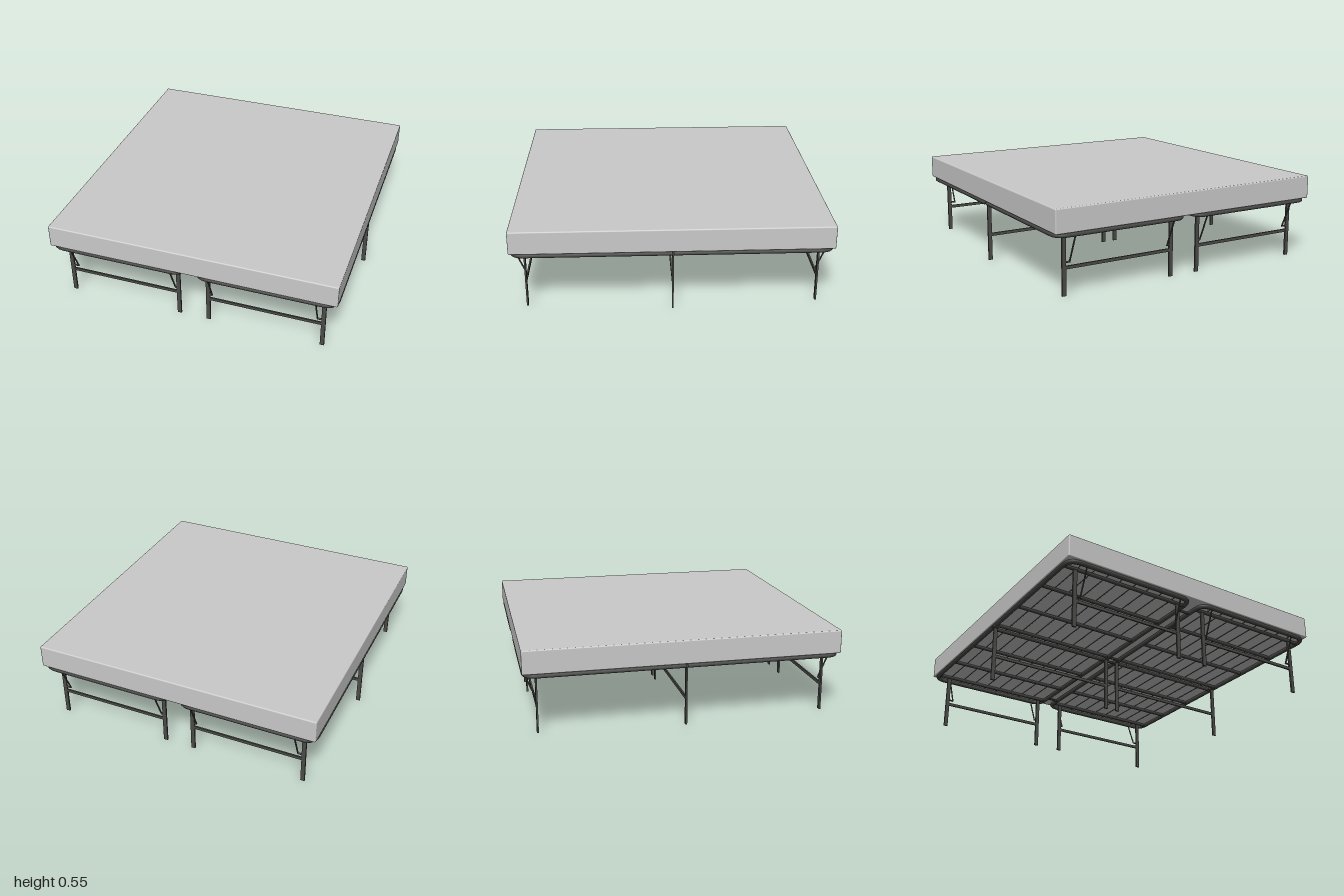
import * as THREE from 'three';
import { RoundedBoxGeometry } from 'three/addons/geometries/RoundedBoxGeometry.js';

const fabric = new THREE.MeshStandardMaterial({ color: 0xcacaca });
fabric.name = 'light grey fabric';
const steel = new THREE.MeshStandardMaterial({ color: 0x4a4a48 });
steel.name = 'dark steel';

const V = (x, y, z) => new THREE.Vector3(x, y, z);

function add(parent, name, geometry, material, x = 0, y = 0, z = 0) {
  const mesh = new THREE.Mesh(geometry, material);
  mesh.name = name;
  mesh.position.set(x, y, z);
  parent.add(mesh);
  return mesh;
}

const box = (parent, name, w, h, d, x, y, z) =>
  add(parent, name, new THREE.BoxGeometry(w, h, d), steel, x, y, z);

// Straight round bar between two points
function bar(parent, name, a, b, r, sides = 10) {
  const mesh = add(parent, name, new THREE.CylinderGeometry(r, r, a.distanceTo(b), sides), steel);
  mesh.position.copy(a).add(b).multiplyScalar(0.5);
  mesh.quaternion.setFromUnitVectors(V(0, 1, 0), b.clone().sub(a).normalize());
}

const RAIL_Y = 0.386, RAIL_R = 0.0145;
const IN = 0.045, OUT = 0.93, END = 0.985, MID = 0.03;

// U-shaped tube with rounded outer corners
function railGeometry(sx, sz) {
  const c = 0.075;
  const p = (x, z) => V(x * sx, RAIL_Y, z * sz);
  const path = new THREE.CurvePath();
  path.add(new THREE.LineCurve3(p(IN, 0.004), p(IN, END - c)));
  path.add(new THREE.QuadraticBezierCurve3(p(IN, END - c), p(IN, END), p(IN + c, END)));
  path.add(new THREE.LineCurve3(p(IN + c, END), p(OUT - c, END)));
  path.add(new THREE.QuadraticBezierCurve3(p(OUT - c, END), p(OUT, END), p(OUT, END - c)));
  path.add(new THREE.LineCurve3(p(OUT, END - c), p(OUT, 0.004)));
  return new THREE.TubeGeometry(path, 160, RAIL_R, 10, false);
}

// Quarter of the folding frame: rail, cross bars, wire deck, end legs and braces
function quarter(sx, sz) {
  const g = new THREE.Group();
  g.name = 'frameQuarter';
  add(g, 'rail', railGeometry(sx, sz), steel);
  for (const z of [MID, 0.33, 0.64, 0.91])
    bar(g, 'crossBar', V(IN * sx, RAIL_Y, z * sz), V(OUT * sx, RAIL_Y, z * sz), 0.012);

  // Wire deck
  for (let i = 1; i <= 8; i++) {
    const x = (IN + (OUT - IN) * i / 9) * sx;
    bar(g, 'deckWire', V(x, 0.397, 0), V(x, 0.397, END * sz), 0.0025, 5);
  }

  // End legs with stretcher
  const legZ = 0.912 * sz;
  for (const x of [0.1, 0.85]) box(g, 'endLeg', 0.027, 0.385, 0.011, x * sx, 0.1925, legZ);
  box(g, 'endStretcher', 0.75, 0.02, 0.01, 0.475 * sx, 0.172, legZ);

  // Slanted braces with their pivots on the legs
  for (const [x, legX] of [[0.125, 0.1], [0.81, 0.85]]) {
    bar(g, 'brace', V(x * sx, 0.2, 0.908 * sz), V(x * sx, 0.38, 0.985 * sz), 0.005, 8);
    bar(g, 'bracePivot', V(legX * sx, 0.205, legZ), V(x * sx, 0.205, legZ), 0.006, 8);
  }
  return g;
}

export function createModel() {
  const bed = new THREE.Group();
  bed.name = 'platformBed';

  // Mattress
  add(bed, 'mattress', new RoundedBoxGeometry(1.89, 0.15, 2, 3, 0.008), fabric, 0, 0.475, 0);

  for (const sx of [-1, 1]) {
    for (const sz of [-1, 1]) bed.add(quarter(sx, sz));

    // Centre legs with stretcher
    const g = new THREE.Group();
    g.name = 'centreLegs';
    for (const x of [0.045, 0.918]) {
      box(g, 'centreLeg', 0.027, 0.38, 0.01, x * sx, 0.19, 0);
      box(g, 'hinge', 0.03, 0.022, 0.05, x * sx, 0.386, 0);
    }
    box(g, 'centreStretcher', 0.873, 0.02, 0.01, 0.4815 * sx, 0.172, 0);
    bed.add(g);
  }

  // Links joining the two halves
  for (const z of [-0.85, -0.03, 0.03, 0.85])
    bar(bed, 'halfLink', V(-IN, 0.383, z), V(IN, 0.383, z), 0.008);

  return bed;
}
